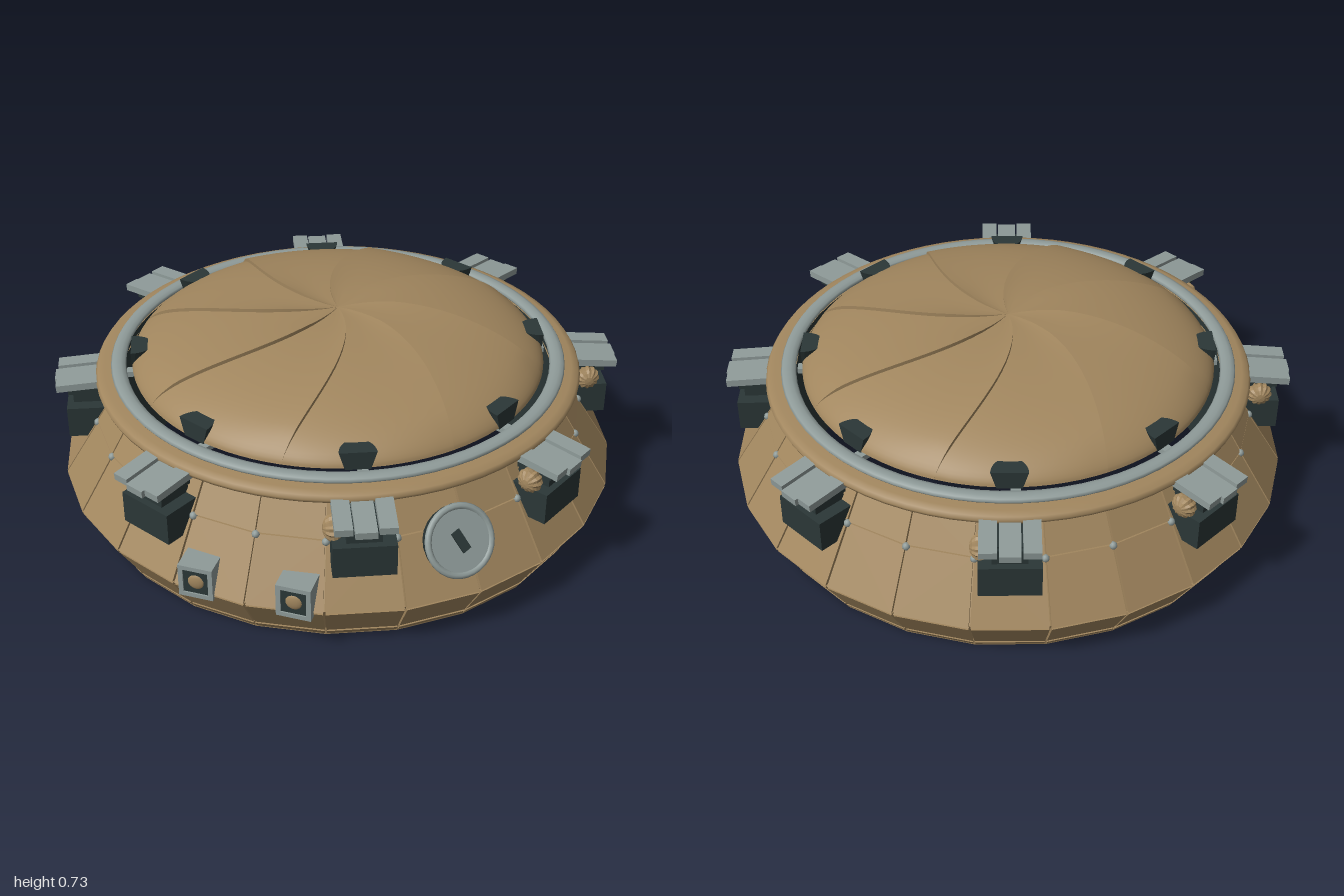
import * as THREE from 'three';
import { toCreasedNormals } from 'three/addons/utils/BufferGeometryUtils.js';
import { ConvexGeometry } from 'three/addons/geometries/ConvexGeometry.js';

const paint = (name, color) => {
  const m = new THREE.MeshStandardMaterial({ color, side: THREE.DoubleSide });
  m.name = name;
  return m;
};

export function createModel() {
  const tan = paint('tan', 0xa1865e);
  const grey = paint('grey', 0x8f9b99);
  const dark = paint('dark slate', 0x2b3737);
  const model = new THREE.Group();
  model.name = 'roundHatch';

  const add = (parent, name, geo, mat, x = 0, y = 0, z = 0) => {
    const m = new THREE.Mesh(geo, mat);
    m.name = name;
    m.position.set(x, y, z);
    parent.add(m);
    return m;
  };
  const box = (parent, name, mat, w, h, d, x, y, z) =>
    add(parent, name, new THREE.BoxGeometry(w, h, d), mat, x, y, z);
  const lathe = (pts, seg) => new THREE.LatheGeometry(pts.map(p => new THREE.Vector2(...p)), seg);
  // group turned so that its local +z points outward
  const spoke = (name, angle) => {
    const g = new THREE.Group();
    g.name = name;
    g.rotation.y = angle;
    model.add(g);
    return g;
  };

  // faceted shell, open at the bottom
  const SIDES = 24;
  const profile = [[0.9, 0], [0.917, 0.03], [1, 0.17], [0.875, 0.37], [0.79, 0.51]];
  const inset = profile.map(([r, y], i) => [i ? r - 0.014 : r, y]);
  add(model, 'bodyShell', toCreasedNormals(lathe(inset, SIDES), 0.05), tan);

  // separate armour panels with narrow grooves between them
  const corner = (r, y, k) =>
    new THREE.Vector3(r * Math.sin(k * Math.PI * 2 / SIDES), y, r * Math.cos(k * Math.PI * 2 / SIDES));
  const panel = (lo, hi, k) => {
    const pts = [];
    for (const depth of [0, 0.02])
      for (const [[r, y], end] of [[lo, 0], [hi, 1]]) {
        const g = end ? 0.016 : 0.014;
        const yy = y + (end ? -0.003 : 0.003);
        const a = corner(r - depth, yy, k), b = corner(r - depth, yy, k + 1);
        pts.push(a.clone().lerp(b, g), b.clone().lerp(a, g));
      }
    return new ConvexGeometry(pts);
  };
  const names = ['bottomLip', 'lowerPanel', 'middlePanel', 'upperPanel'];
  for (let k = 0; k < SIDES; k++) {
    names.forEach((n, i) => add(model, n, panel(profile[i], profile[i + 1], k), tan));
    const bolt = add(model, 'bolt', new THREE.SphereGeometry(0.014, 8, 6), grey);
    bolt.position.copy(corner(0.874, 0.365, k));
  }

  // inner wall and rims
  add(model, 'innerWall', new THREE.CylinderGeometry(0.768, 0.768, 0.53, 64, 1, true), dark, 0, 0.265, 0);
  const lip = [[0.77, 0.5], [0.845, 0.5], [0.861, 0.508], [0.866, 0.52], [0.858, 0.532], [0.835, 0.541], [0.77, 0.545]];
  add(model, 'topRim', lathe(lip, 72), tan);
  const ring = new THREE.TorusGeometry(0.783, 0.027, 10, 72);
  ring.rotateX(Math.PI / 2).scale(1, 0.5, 1);
  add(model, 'sealRing', ring, grey, 0, 0.55, 0);

  // domed iris of eight curved blades, each stepped up along one seam
  const domeY = r => 0.55 + 0.177 * Math.pow(Math.max(0, 1 - Math.pow(r / 0.735, 2.3)), 0.62);
  const blade = k => {
    const NR = 24, NT = 12, pos = [], idx = [];
    for (let i = 0; i <= NR; i++) {
      const r = 0.735 * Math.sin(i / NR * Math.PI / 2);
      const start = (-38 + 70 * r - 31 * r * r + 45 * k) * Math.PI / 180;
      for (let j = -1; j <= NT; j++) {
        const t = Math.max(j, 0) / NT, a = start + t * Math.PI / 4;
        const lift = j < 0 ? 0 : 0.013 * Math.pow(1 - t, 3) * Math.min(1, r * 5) * Math.min(1, (0.735 - r) * 12);
        pos.push(r * Math.cos(a), domeY(r) + lift, r * Math.sin(a));
      }
    }
    const w = NT + 2;
    for (let i = 0; i < NR; i++)
      for (let j = 0; j < w - 1; j++) {
        const a = i * w + j, b = a + w;
        idx.push(a, a + 1, b, b, a + 1, b + 1);
      }
    const g = new THREE.BufferGeometry();
    g.setAttribute('position', new THREE.Float32BufferAttribute(pos, 3));
    g.setIndex(idx);
    return toCreasedNormals(g, 0.6);
  };
  for (let k = 0; k < 8; k++) add(model, 'irisBlade', blade(k), tan);

  // half-round stop, narrower at its foot
  const half = new THREE.Shape();
  half.absarc(0, 0, 0.062, 0, Math.PI, false);
  half.closePath();
  const stopGeo = new THREE.ExtrudeGeometry(half, { depth: 0.065, bevelEnabled: false, curveSegments: 8 });
  const sp = stopGeo.attributes.position;
  for (let i = 0; i < sp.count; i++) {
    const s = sp.getZ(i) > 0.03 ? 1 : 0.68;
    sp.setXY(i, sp.getX(i) * s, sp.getY(i) * s * 1.25);
  }
  stopGeo.rotateX(-Math.PI / 2);
  stopGeo.computeVertexNormals();

  // ribbed knob with a sideways axle
  const knobGeo = new THREE.SphereGeometry(0.043, 24, 8);
  const kp = knobGeo.attributes.position;
  for (let i = 0; i < kp.count; i++) {
    const s = (i % 25) % 2 ? 0.9 : 1.04;
    kp.setXYZ(i, kp.getX(i) * s, kp.getY(i) * 0.8, kp.getZ(i) * s);
  }
  knobGeo.rotateZ(Math.PI / 2);
  const knob = toCreasedNormals(knobGeo, 0.3);

  // eight clamps round the rim
  for (let k = 0; k < 8; k++) {
    const g = spoke('clamp', (k + 0.5) * Math.PI / 4);
    box(g, 'clampBody', dark, 0.205, 0.115, 0.155, 0, 0.36, 0.895);
    box(g, 'clampNeck', dark, 0.115, 0.09, 0.12, 0, 0.445, 0.89);
    box(g, 'clampCollar', dark, 0.15, 0.025, 0.13, 0, 0.472, 0.9);
    for (const s of [-1, 0, 1]) {
      const slat = box(g, 'clampSlat', grey, s ? 0.058 : 0.07, 0.026, s ? 0.165 : 0.18, s * 0.07, s ? 0.505 : 0.497, 0.92);
      slat.rotation.x = 0.08;
    }
    add(g, 'clampKnob', knob, tan, -0.095, 0.445, 0.9);
    add(g, 'irisStop', stopGeo, dark, 0, 0.545, 0.735);
    box(g, 'innerStrut', grey, 0.035, 0.02, 0.22, 0.02, 0.51, 0.645);
  }

  // round access cap lying on the sloped side
  const cap = spoke('accessCap', 0.735);
  const capTilt = new THREE.Group();
  capTilt.name = 'capAssembly';
  capTilt.position.set(0, 0.345, 0.925);
  capTilt.rotation.x = Math.PI / 2 - 0.5;
  cap.add(capTilt);
  add(capTilt, 'capBase', new THREE.CylinderGeometry(0.122, 0.105, 0.05, 24), dark, 0, -0.025, 0);
  add(capTilt, 'capPlate', new THREE.CylinderGeometry(0.112, 0.112, 0.02, 32), grey, 0, 0.005, 0);
  const capRim = new THREE.TorusGeometry(0.112, 0.012, 8, 32);
  capRim.rotateX(Math.PI / 2);
  add(capTilt, 'capRim', capRim, grey, 0, 0.01, 0);
  const slot = box(capTilt, 'capSlot', dark, 0.032, 0.009, 0.075, 0, 0.018, 0);
  slot.rotation.y = 0.4;

  // pair of framed buttons on the front
  for (const x of [-0.167, 0.165]) {
    const g = new THREE.Group();
    g.name = 'frontButton';
    g.position.set(x, 0.217, 0);
    model.add(g);
    box(g, 'buttonCase', grey, 0.118, 0.122, 0.09, 0, 0, 0.94);
    for (const s of [-1, 1]) {
      box(g, 'buttonFrameSide', grey, 0.016, 0.122, 0.014, s * 0.051, 0, 0.989);
      box(g, 'buttonFrameEdge', grey, 0.118, 0.016, 0.014, 0, s * 0.053, 0.989);
    }
    box(g, 'buttonPanel', dark, 0.088, 0.092, 0.008, 0, 0, 0.987);
    const b = add(g, 'buttonDome', new THREE.SphereGeometry(0.03, 16, 10), tan, 0, 0, 0.987);
    b.scale.z = 0.35;
  }
  return model;
}
